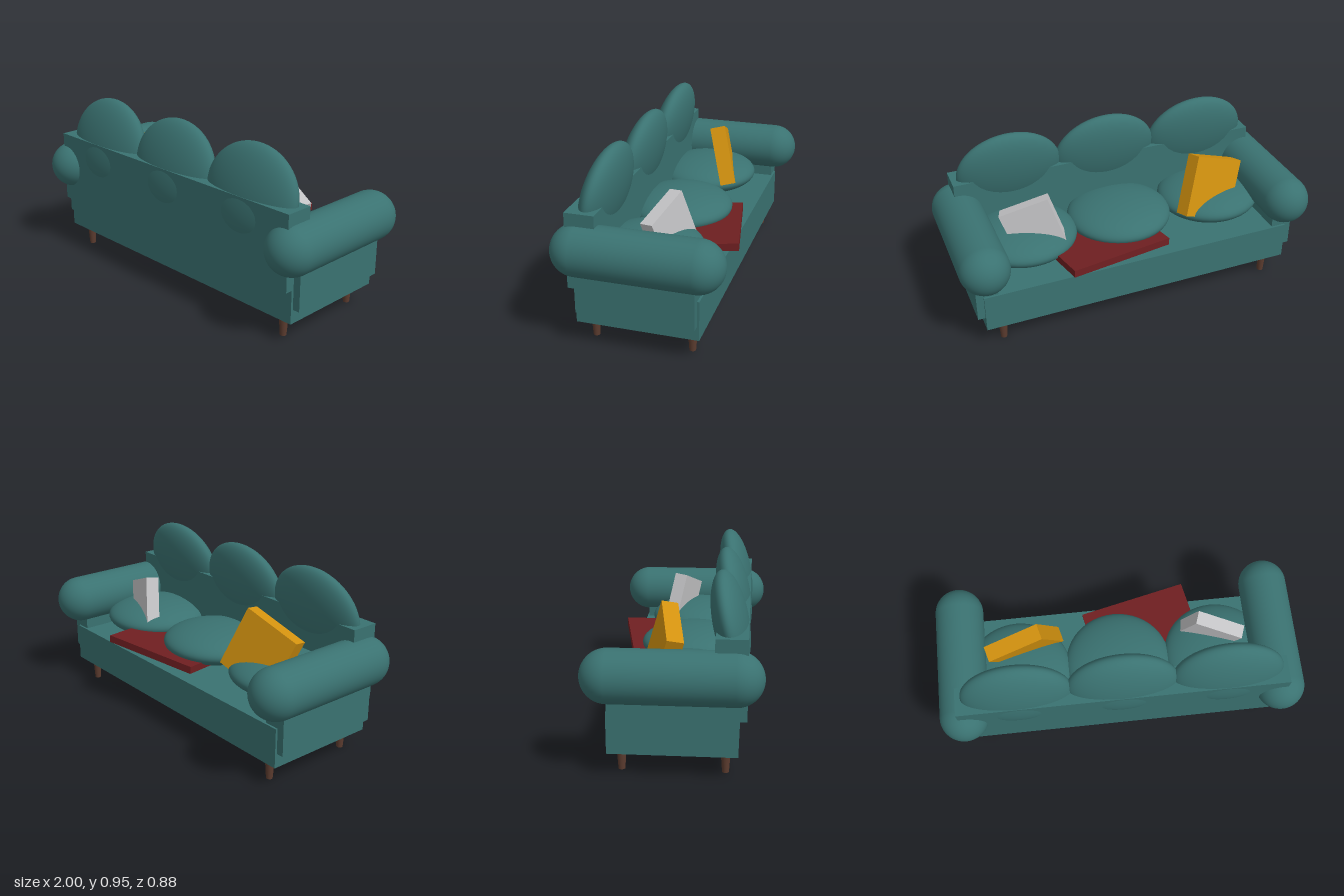
import * as THREE from 'three';

const material = (name, color) => {
  const m = new THREE.MeshStandardMaterial({ color });
  m.name = name;
  return m;
};

export function createModel() {
  const fabric = material('teal fabric', 0x3a7271);
  const wood = material('dark wood', 0x5c3c2f);
  const mustard = material('mustard cloth', 0xd3920f);
  const pale = material('pale grey cloth', 0xc4c4c6);
  const red = material('dark red wool', 0x6f1f21);

  const group = new THREE.Group();
  group.name = 'sofa';

  const add = (name, geometry, mat, x, y, z) => {
    const mesh = new THREE.Mesh(geometry, mat);
    mesh.name = name;
    mesh.position.set(x, y, z);
    group.add(mesh);
    return mesh;
  };

  // Box whose width runs along u and height along v
  const tiltedBox = (name, mat, centre, u, v, thickness) => {
    const across = new THREE.Vector3(...u);
    const up = new THREE.Vector3(...v);
    const width = across.length(), height = up.length();
    const ax = across.normalize();
    const az = new THREE.Vector3().crossVectors(ax, up).normalize();
    const ay = new THREE.Vector3().crossVectors(az, ax);
    const mesh = add(name, new THREE.BoxGeometry(width, height, thickness), mat, ...centre);
    mesh.quaternion.setFromRotationMatrix(new THREE.Matrix4().makeBasis(ax, ay, az));
  };

  // Frame: seat base and backrest
  add('seatBase', new THREE.BoxGeometry(1.77, 0.212, 0.633), fabric, 0, 0.225, 0.001);
  add('backrest', new THREE.BoxGeometry(1.77, 0.403, 0.154), fabric, 0, 0.504, 0.28);

  // Arms: side panel with a rounded roll on top
  const roll = new THREE.CapsuleGeometry(0.133, 0.61, 16, 40).rotateX(Math.PI / 2);
  for (const [side, s] of [['left', 1], ['right', -1]]) {
    add(side + 'ArmPanel', new THREE.BoxGeometry(0.12, 0.24, 0.608), fabric, s * 0.865, 0.315, 0);
    add(side + 'ArmRoll', roll, fabric, s * 0.865, 0.508, 0);
    // Tapered legs
    for (const z of [0.255, -0.255]) {
      add(side + 'Leg', new THREE.CylinderGeometry(0.025, 0.017, 0.113, 20), wood, s * 0.787, 0.0565, z);
    }
  }

  // Cushions: flattened ellipsoids, the back ones leaning over the seat
  const seatShape = new THREE.SphereGeometry(1, 48, 32).scale(0.293, 0.097, 0.287);
  const backShape = new THREE.SphereGeometry(1, 48, 32).scale(0.296, 0.25, 0.088);
  for (const x of [-0.56, 0, 0.56]) {
    add('seatCushion', seatShape, fabric, x, 0.42, 0.045);
    add('backCushion', backShape, fabric, x, 0.705, 0.265).rotation.x = -0.208;
  }

  // Loose pillows and folded blanket
  tiltedBox('mustardPillow', mustard, [-0.51, 0.538, -0.07], [0.30, 0.12, -0.055], [-0.08, 0.32, 0.09], 0.087);
  tiltedBox('palePillow', pale, [0.53, 0.524, -0.054], [0.25, -0.095, 0.075], [0.075, 0.255, 0.055], 0.074);
  tiltedBox('blanket', red, [0.16, 0.382, -0.14], [0.59, 0.03, -0.12], [0.08, -0.02, 0.38], 0.04);

  return group;
}
